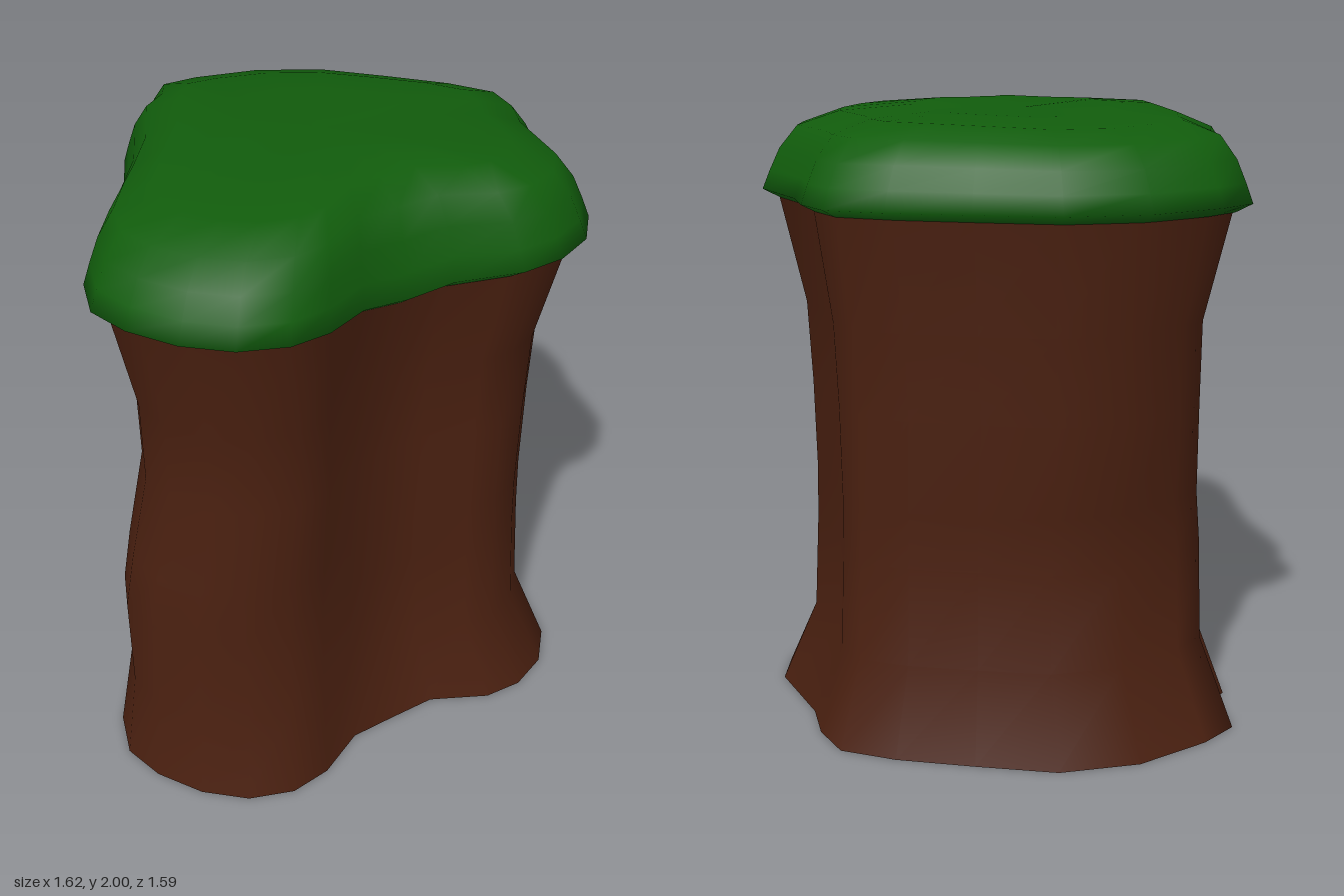
import * as THREE from 'three';

// Plan outline (x, z) shared by the trunk and the grass cap
const SHARED = [
  [-0.39, -0.73], [-0.25, -0.775], [0.01, -0.795], [0.26, -0.72], [0.47, -0.56],
  [0.67, -0.40], [0.80, -0.26], [0.81, -0.11], [0.775, 0.04], [0.775, 0.34],
  [0.70, 0.475], [0.58, 0.56], [0.45, 0.585], [0.25, 0.54], [0.09, 0.58],
  [-0.06, 0.62], [-0.20, 0.74], [-0.33, 0.79], [-0.48, 0.775], [-0.62, 0.70],
  [-0.74, 0.58], [-0.81, 0.45], [-0.80, 0.29], [-0.73, 0.13], [-0.67, 0.01],
];
// The trunk has two grooves at the back left (third value 1 = groove bottom); the cap has one notch
const TRUNK = [...SHARED, [-0.63, -0.08], [-0.47, -0.25, 1], [-0.54, -0.37], [-0.51, -0.51], [-0.35, -0.53, 1]];
const CAP = [...SHARED, [-0.58, -0.20], [-0.51, -0.51], [-0.38, -0.57, 1]];

// Low swells and dips on the grass: x, z, height, spread
const SWELLS = [[0.13, 0.41, 0.035, 0.14], [-0.5, -0.12, 0.03, 0.12], [0.1, -0.6, -0.02, 0.15]];
const bump = (x, z, [cx, cz, h, spread]) => h * Math.exp(-((x - cx) ** 2 + (z - cz) ** 2) / spread);

// Skins rings of points from bottom to top; an apex closes the top
function loft(rings, apex) {
  const n = rings[0].length, pos = rings.flat(2), index = [];
  for (let r = 0; r < rings.length - 1; r++) {
    for (let i = 0; i < n; i++) {
      const a = r * n + i, b = r * n + (i + 1) % n;
      index.push(b, a, a + n, b, a + n, b + n);
    }
  }
  if (apex) {
    const base = (rings.length - 1) * n;
    pos.push(...apex);
    for (let i = 0; i < n; i++) index.push(base + (i + 1) % n, base + i, rings.length * n);
  }
  const geo = new THREE.BufferGeometry();
  geo.setAttribute('position', new THREE.Float32BufferAttribute(pos, 3));
  geo.setIndex(index);
  geo.computeVertexNormals();
  return geo;
}

export function createModel() {
  const group = new THREE.Group();
  group.name = 'grassyStump';
  const add = (name, geo, color) => {
    const mesh = new THREE.Mesh(geo, new THREE.MeshStandardMaterial({ color, side: THREE.DoubleSide }));
    mesh.name = name;
    group.add(mesh);
  };

  // Hollow trunk: height, reach to -x, +x, -z, +z, and strength of the waist
  const levels = [
    [0, 0.81, 0.81, 0.785, 0.79, 0],
    [0.28, 0.745, 0.72, 0.67, 0.695, 0.9],
    [0.6, 0.745, 0.705, 0.655, 0.68, 1],
    [0.78, 0.715, 0.70, 0.65, 0.675, 1],
    [1.08, 0.655, 0.705, 0.695, 0.675, 1],
    [1.35, 0.66, 0.715, 0.69, 0.675, 0.9],
    [1.72, 0.75, 0.77, 0.745, 0.755, 0.2],
  ];
  add('trunk', loft(levels.map(([y, xn, xp, zn, zp, waist]) => TRUNK.map(([x, z, groove = 0]) => {
    // The front-left lobe bulges, the front-right and back-left corners pull in
    const diagonal = 2 * x * z / (x * x + z * z);
    const pull = x > 0 ? 0.045 * Math.sqrt(Math.max(diagonal, 0)) : 0.06 * diagonal;
    const shift = diagonal > 0 ? -pull : x < 0 ? 0.05 * diagonal ** 4 : 0;
    const k = 1 + waist * (shift - 0.08 * groove);
    return [k * x * (x < 0 ? xn : xp) / 0.81, y, k * z * (z < 0 ? zn / 0.795 : zp / 0.79)];
  }))), 0x4a2010);

  // Grass cap: scale, height and share of the front droop
  const capLevels = [
    [0.93, 1.69, 1], [1.0, 1.72, 1], [0.97, 1.78, 0.8], [0.93, 1.85, 0.5],
    [0.86, 1.92, 0.3], [0.7, 1.96, 0.1], [0.4, 1.972, 0],
  ];
  add('grassCap', loft(capLevels.map(([s, y, d]) => CAP.map(([x, z, notch = 0]) => {
    const droop = d * bump(x, z, [0.12, 0.58, 0.047, 0.1]);
    const swell = (1 - d) * SWELLS.reduce((sum, w) => sum + bump(x * s, z * s, w), 0);
    const fill = 1 + 0.15 * notch * (1 - d);
    return [x * s * fill * (x < 0 ? 0.985 : 1), Math.min(2, y - droop + swell), z * s * fill];
  })), [0, 1.975, 0]), 0x115c0c);

  return group;
}
